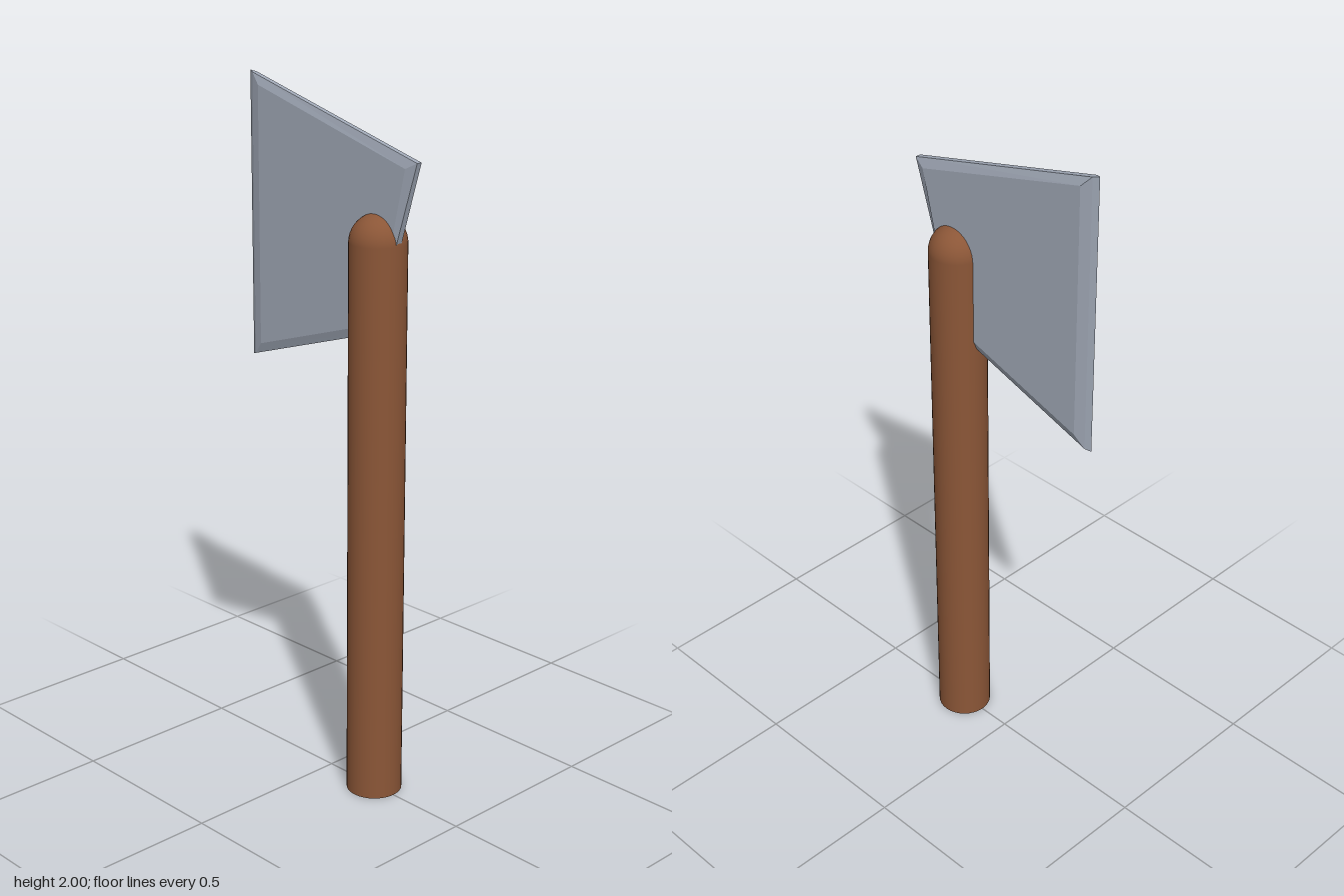
import * as THREE from 'three';

// Blade cross-section rings: x position and four [z, y] corners
// in the order front top, front bottom, back bottom, back top.
function bladeGeometry() {
  const inner = [[0.286, 1.81], [0.187, 1.383], [-0.275, 1.236], [-0.275, 1.965]];
  const outer = [[0.322, 1.828], [0.177, 1.354], [-0.305, 1.2], [-0.305, 1.996]];
  const edge = [outer[0], outer[1], [-0.322, 1.195], [-0.322, 2.0]];
  const rings = [[0.018, inner], [0.008, outer], [0, edge], [-0.008, outer], [-0.015, inner]]
    .map(([x, pts]) => pts.map(([z, y]) => [x, y, z]));

  const positions = [];
  const quad = (a, b, c, d) => positions.push(...a, ...b, ...c, ...a, ...c, ...d);
  const first = rings[0];
  const last = rings[rings.length - 1];
  quad(...first);
  quad(...[...last].reverse());
  for (let i = 0; i < rings.length - 1; i++) {
    for (let j = 0; j < 4; j++) {
      const k = (j + 1) % 4;
      quad(rings[i][j], rings[i + 1][j], rings[i + 1][k], rings[i][k]);
    }
  }
  const geometry = new THREE.BufferGeometry();
  geometry.setAttribute('position', new THREE.Float32BufferAttribute(positions, 3));
  geometry.computeVertexNormals();
  return geometry;
}

export function createModel() {
  const group = new THREE.Group();
  group.name = 'axe';
  const wood = new THREE.MeshStandardMaterial({ color: 0x8b5637 });
  const steel = new THREE.MeshStandardMaterial({ color: 0xa0a8b6, flatShading: true });

  // Handle: round shaft with a domed top
  const radius = 0.079;
  const shaftHeight = 1.6;
  const handle = new THREE.Group();
  handle.name = 'handle';
  handle.position.z = 0.177;

  const shaft = new THREE.Mesh(
    new THREE.CylinderGeometry(radius, radius, shaftHeight, 32, 1, true), wood);
  shaft.name = 'shaft';
  shaft.position.y = shaftHeight / 2;

  const dome = new THREE.Mesh(
    new THREE.SphereGeometry(radius, 32, 10, 0, Math.PI * 2, 0, Math.PI / 2), wood);
  dome.name = 'handleTop';
  dome.position.y = shaftHeight;

  const base = new THREE.Mesh(new THREE.CircleGeometry(radius, 32), wood);
  base.name = 'handleBase';
  base.rotation.x = Math.PI / 2;
  handle.add(shaft, dome, base);

  // Blade: bevelled plate with a sharp cutting edge at the back
  const blade = new THREE.Mesh(bladeGeometry(), steel);
  blade.name = 'blade';

  group.add(handle, blade);
  return group;
}
